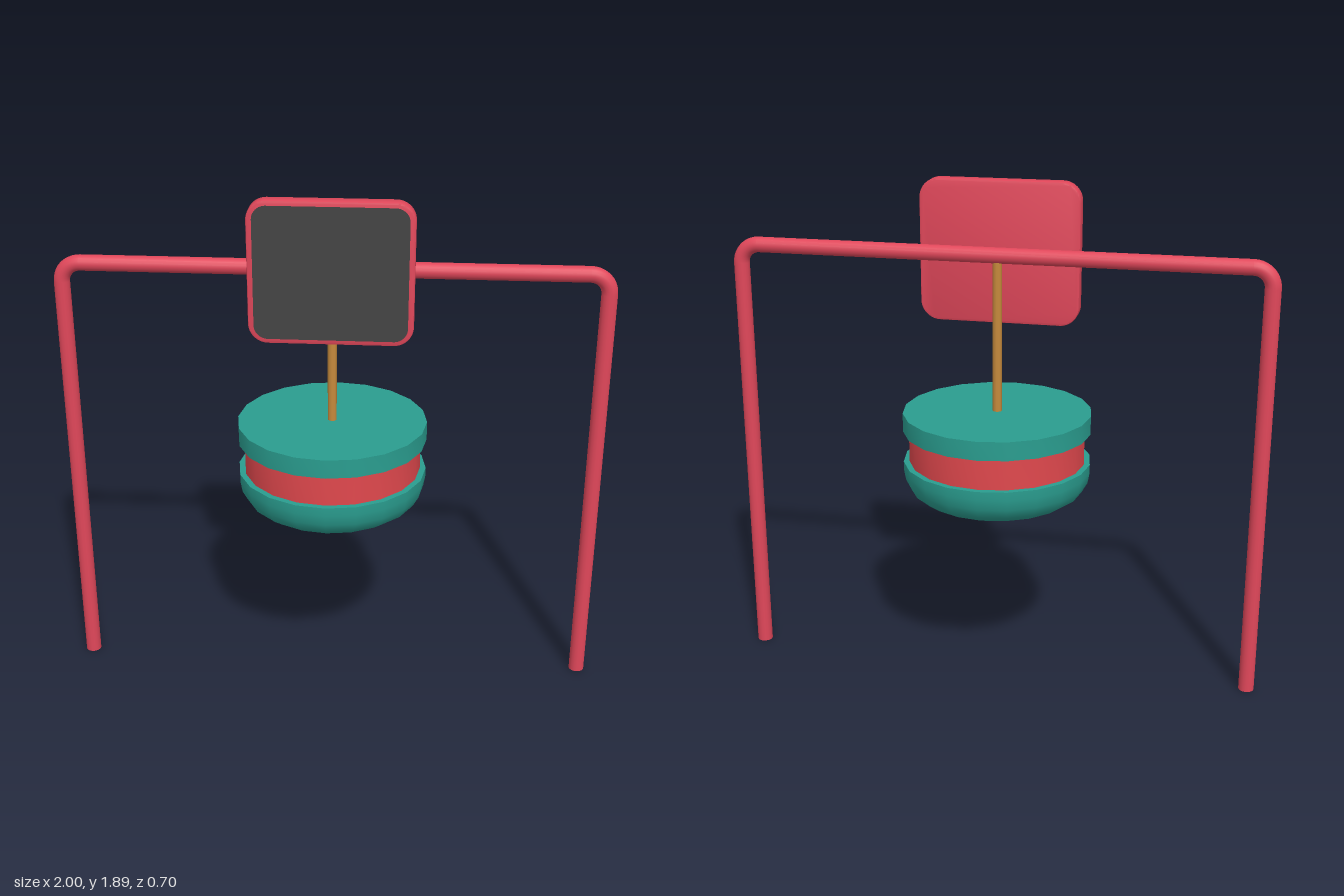
import * as THREE from 'three';
import { toCreasedNormals } from 'three/addons/utils/BufferGeometryUtils.js';

const paint = (color) => new THREE.MeshStandardMaterial({ color });

function add(parent, name, geometry, material, x = 0, y = 0, z = 0) {
  const mesh = new THREE.Mesh(geometry, material);
  mesh.name = name;
  mesh.position.set(x, y, z);
  parent.add(mesh);
  return mesh;
}

// Rounded rectangle centred on the origin
function roundedRect(w, h, r) {
  const s = new THREE.Shape();
  s.absarc(w / 2 - r, h / 2 - r, r, 0, Math.PI / 2);
  s.absarc(r - w / 2, h / 2 - r, r, Math.PI / 2, Math.PI);
  s.absarc(r - w / 2, r - h / 2, r, Math.PI, Math.PI * 1.5);
  s.absarc(w / 2 - r, r - h / 2, r, Math.PI * 1.5, Math.PI * 2);
  s.closePath();
  return s;
}

// Closed turned solid from [radius, height] pairs, listed bottom to top
function turned(profile) {
  const points = profile.map(([r, y]) => new THREE.Vector2(r, y));
  return toCreasedNormals(new THREE.LatheGeometry(points, 20), 0.6);
}

export function createModel() {
  const model = new THREE.Group();
  model.name = 'hangingDrumFrame';
  const red = paint(0xe0475a);
  const drumRed = paint(0xe0484d);
  const teal = paint(0x2a9d8f);
  const wood = paint(0xc68a3c);
  const dark = paint(0x444444);

  // Tubular frame: two legs, rounded corners and a top beam
  const frame = new THREE.Group();
  frame.name = 'frame';
  model.add(frame);
  const tube = 0.029, legX = 0.971, beamY = 1.632, bend = 0.07;
  const legHeight = beamY - bend;
  for (const side of [-1, 1]) {
    const label = side > 0 ? 'left' : 'right';
    add(frame, label + 'Leg', new THREE.CylinderGeometry(tube, tube, legHeight, 16),
      red, side * legX, legHeight / 2);
    const corner = add(frame, label + 'Corner',
      new THREE.TorusGeometry(bend, tube, 16, 10, Math.PI / 2),
      red, side * (legX - bend), legHeight);
    if (side < 0) corner.rotation.y = Math.PI;
  }
  add(frame, 'beam', new THREE.CylinderGeometry(tube, tube, 2 * (legX - bend), 16),
    red, 0, beamY).rotation.z = Math.PI / 2;

  // Sign board in front of the beam, with a dark face
  const sign = new THREE.Group();
  sign.name = 'sign';
  sign.position.set(0, 1.635, 0);
  model.add(sign);
  const bevel = 0.006;
  const board = new THREE.ExtrudeGeometry(roundedRect(0.574, 0.506, 0.065), {
    depth: 0.042, bevelEnabled: true, bevelSize: bevel, bevelThickness: bevel,
    bevelSegments: 2, curveSegments: 8,
  });
  add(sign, 'signBoard', toCreasedNormals(board, 0.6), red, 0, 0, 0.03 + bevel);
  add(sign, 'signPanel', new THREE.ShapeGeometry(roundedRect(0.545, 0.483, 0.05), 8),
    dark, 0, 0, 0.086);

  // Rod that hangs the drum from the beam
  add(model, 'rod', new THREE.CylinderGeometry(0.017, 0.017, 0.59, 10), wood, 0, 1.335);

  // Hanging drum: lid, recessed band and rounded bowl
  const drum = new THREE.Group();
  drum.name = 'drum';
  model.add(drum);
  add(drum, 'lid', turned([[0, 0.98], [0.35, 0.98], [0.35, 1.05], [0, 1.05]]), teal);
  add(drum, 'band', turned([[0.328, 0.85], [0.328, 0.99]]), drumRed);
  add(drum, 'bowl', turned([[0, 0.715], [0.235, 0.715], [0.285, 0.726], [0.322, 0.752],
    [0.343, 0.79], [0.35, 0.83], [0.35, 0.862], [0, 0.862]]), teal);

  return model;
}
